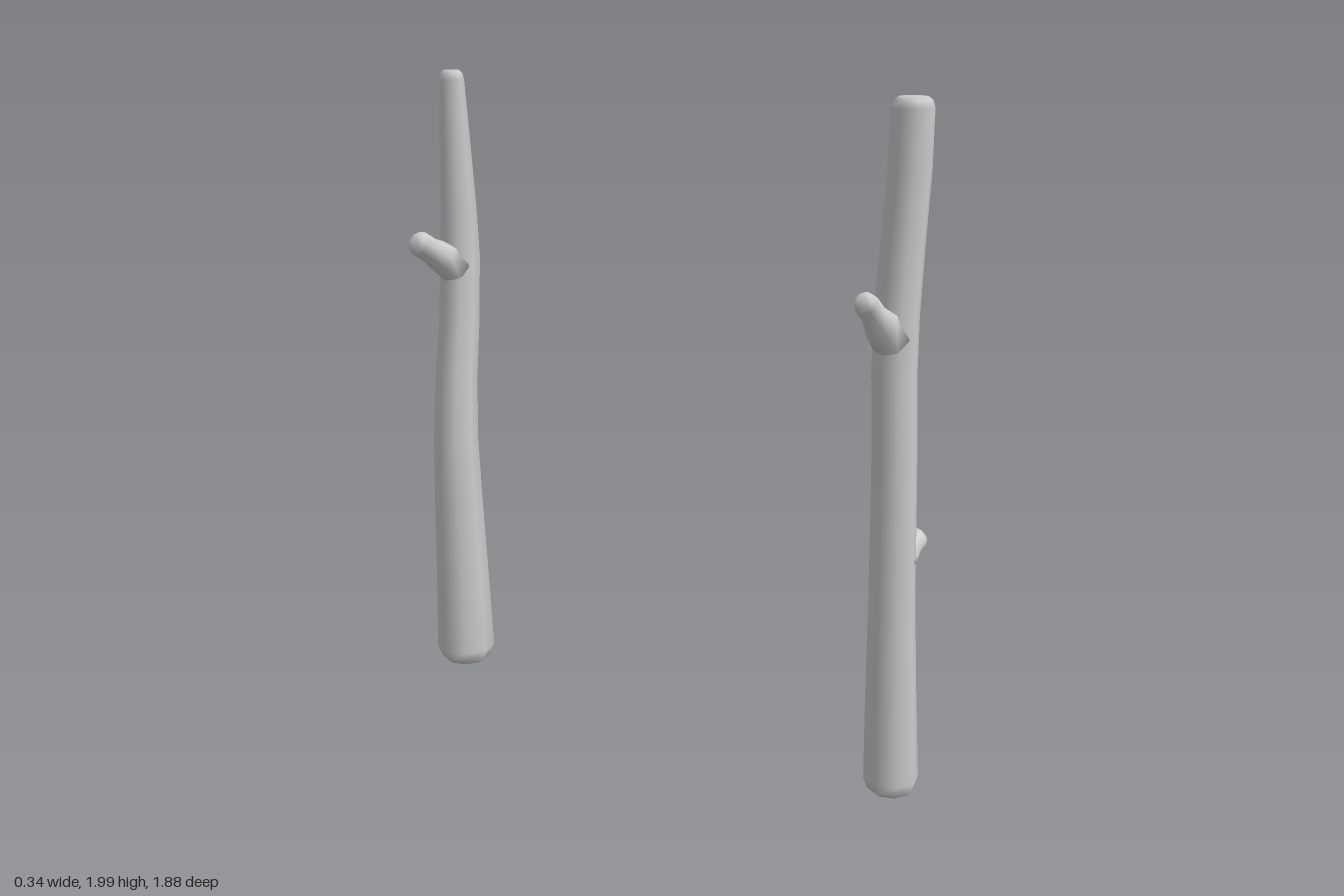
import * as THREE from 'three';

const SIDES = 8;

// Smooth skin through rings [x, y, z, radius], all square to one axis, closed at both ends
function loft(name, rings, axis, material) {
  const dir = new THREE.Vector3(...axis).normalize();
  const turn = new THREE.Quaternion().setFromUnitVectors(new THREE.Vector3(0, 1, 0), dir);
  const pos = [], index = [];
  for (const [x, y, z, r] of rings) {
    for (let k = 0; k < SIDES; k++) {
      const a = (k / SIDES) * Math.PI * 2;
      const p = new THREE.Vector3(Math.sin(a) * r, 0, Math.cos(a) * r).applyQuaternion(turn);
      pos.push(p.x + x, p.y + y, p.z + z);
    }
  }
  for (let i = 0; i < rings.length - 1; i++) {
    for (let k = 0; k < SIDES; k++) {
      const a = i * SIDES + k, b = i * SIDES + (k + 1) % SIDES;
      index.push(a, b, b + SIDES, a, b + SIDES, a + SIDES);
    }
  }
  // End caps
  const last = (rings.length - 1) * SIDES;
  for (let k = 1; k < SIDES - 1; k++) {
    index.push(0, k + 1, k, last, last + k, last + k + 1);
  }
  const geo = new THREE.BufferGeometry();
  geo.setAttribute('position', new THREE.Float32BufferAttribute(pos, 3));
  geo.setIndex(index);
  geo.computeVertexNormals();
  const mesh = new THREE.Mesh(geo, material);
  mesh.name = name;
  return mesh;
}

// Twig from a flared root to a rounded tip
function twig(name, from, to, rootR, tipR, material) {
  const a = new THREE.Vector3(...from), b = new THREE.Vector3(...to);
  const profile = [[0, rootR], [0.35, rootR * 0.85], [0.6, tipR], [0.86, tipR], [0.96, tipR * 0.8], [1, tipR * 0.45]];
  const rings = profile.map(([t, r]) => [...a.clone().lerp(b, t).toArray(), r]);
  return loft(name, rings, b.clone().sub(a).toArray(), material);
}

export function createModel() {
  const model = new THREE.Group();
  model.name = 'twoBranches';
  const wood = new THREE.MeshStandardMaterial({ color: 0xcccccc });
  const up = [0, 1, 0];

  // Front branch: even thickness, two twigs
  const front = new THREE.Group();
  front.name = 'frontBranch';
  front.add(loft('frontStem', [
    [0.06, 0.012, 0.86, 0.055], [0.06, 0.022, 0.86, 0.068], [0.06, 0.055, 0.86, 0.08],
    [0.05, 0.3, 0.858, 0.074], [0.042, 0.6, 0.856, 0.067], [0.043, 0.85, 0.852, 0.065],
    [0.043, 1.05, 0.848, 0.064], [0.04, 1.25, 0.842, 0.064], [0.044, 1.4, 0.841, 0.064],
    [0.053, 1.6, 0.848, 0.062], [0.06, 1.8, 0.858, 0.061], [0.062, 1.965, 0.86, 0.06],
    [0.062, 1.985, 0.86, 0.053], [0.062, 1.994, 0.86, 0.04],
  ], up, wood));
  front.add(twig('frontUpperTwig', [0.02, 1.345, 0.842], [-0.12, 1.475, 0.837], 0.058, 0.035, wood));
  front.add(twig('frontLowerTwig', [0.06, 0.705, 0.858], [0.16, 0.765, 0.86], 0.055, 0.04, wood));
  model.add(front);

  // Back branch: thick foot, S-bend, thin top, one twig
  const back = new THREE.Group();
  back.name = 'backBranch';
  back.add(loft('backStem', [
    [0.005, 0.006, -0.84, 0.065], [0.005, 0.018, -0.84, 0.08], [0.005, 0.055, -0.84, 0.096],
    [0, 0.3, -0.842, 0.088], [-0.008, 0.6, -0.845, 0.079], [-0.01, 0.8, -0.848, 0.073],
    [0.003, 1.0, -0.851, 0.069], [0.026, 1.2, -0.854, 0.066], [0.036, 1.4, -0.856, 0.065],
    [0.032, 1.55, -0.853, 0.059], [0.018, 1.75, -0.846, 0.05], [0.004, 1.97, -0.841, 0.04],
    [0.003, 1.99, -0.84, 0.035], [0.003, 2.0, -0.84, 0.025],
  ], up, wood));
  back.add(twig('backTwig', [0.015, 1.365, -0.856], [-0.155, 1.468, -0.864], 0.064, 0.043, wood));
  model.add(back);

  return model;
}
